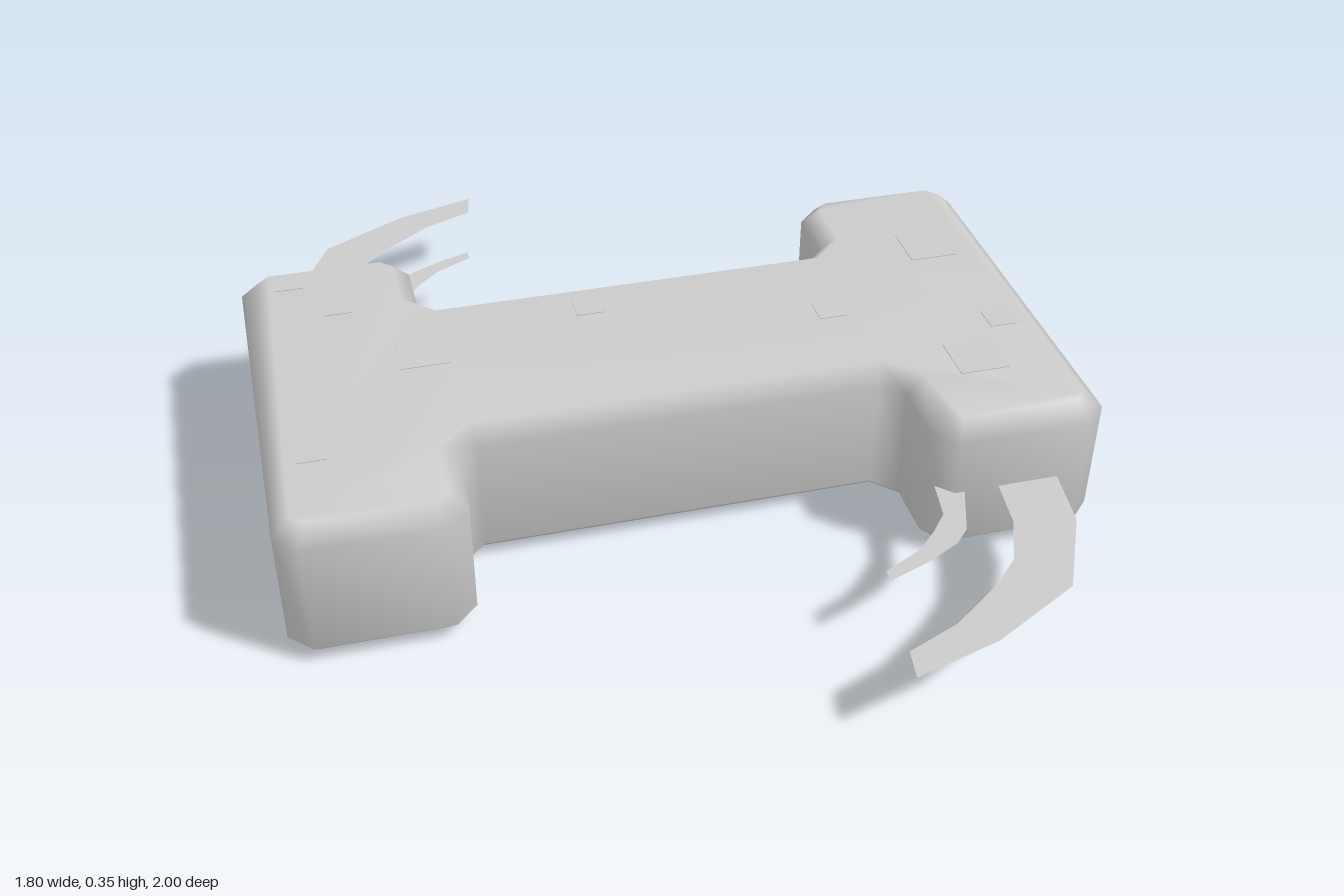
import * as THREE from 'three';
import { mergeVertices } from 'three/addons/utils/BufferGeometryUtils.js';

const grey = new THREE.MeshStandardMaterial({ color: 0xcccccc });
const greyThin = new THREE.MeshStandardMaterial({ color: 0xcccccc, side: THREE.DoubleSide });

const HEIGHT = 0.35;
const BEVEL = 0.04;

const toShape = (points) => new THREE.Shape(points.map(([x, y]) => new THREE.Vector2(x, y)));

// I-shaped slab: two wide end blocks joined by a bar, all edges chamfered and smoothed
function makeBody() {
  const quarter = [[0.5, 0.26], [0.45, 0.26], [0.5, 0.31], [0.5, 0.45], [0.55, 0.5], [0.85, 0.5], [0.9, 0.45]].slice(1);
  const mirrored = quarter.map(([x, y]) => [-x, y]).reverse();
  const half = [...mirrored, ...quarter];
  const outline = [...half, ...half.map(([x, y]) => [-x, -y])];
  let geometry = new THREE.ExtrudeGeometry(toShape(outline), {
    depth: HEIGHT - 2 * BEVEL,
    bevelEnabled: true,
    bevelThickness: BEVEL,
    bevelSize: BEVEL,
    bevelOffset: -BEVEL,
    bevelSegments: 1,
  });
  geometry.deleteAttribute('uv');
  geometry.deleteAttribute('normal');
  geometry = mergeVertices(geometry, 1e-4);
  geometry.rotateX(-Math.PI / 2);
  geometry.translate(0, BEVEL, 0);
  geometry.computeVertexNormals();
  const body = new THREE.Mesh(geometry, grey);
  body.name = 'body';
  return body;
}

// Flat curved blade lying level at mid height; points are (x, distance to the back)
function makeBlade(name, points) {
  const geometry = new THREE.ShapeGeometry(toShape(points));
  geometry.rotateX(-Math.PI / 2);
  const blade = new THREE.Mesh(geometry, greyThin);
  blade.position.y = HEIGHT / 2;
  blade.name = name;
  return blade;
}

const LARGE = [
  [-0.8, 0.42], [-0.79, 0.5], [-0.77, 0.645], [-0.673, 0.835], [-0.467, 0.945], [-0.272, 1],
  [-0.283, 0.93], [-0.404, 0.88], [-0.52, 0.797], [-0.589, 0.73], [-0.636, 0.618], [-0.652, 0.5], [-0.66, 0.42],
];
const SMALL = [
  [-0.59, 0.42], [-0.573, 0.5], [-0.53, 0.618], [-0.494, 0.655], [-0.41, 0.697], [-0.319, 0.729],
  [-0.319, 0.7], [-0.41, 0.655], [-0.46, 0.607], [-0.5, 0.56], [-0.515, 0.47], [-0.52, 0.42],
];

// Square plates on the top face: x, z, size
const PLATES = [
  [-0.79, -0.42, 0.065], [-0.69, -0.29, 0.065], [-0.52, -0.06, 0.11],
  [-0.12, -0.15, 0.065], [-0.8, 0.24, 0.065], [0.42, 0, 0.065],
  [0.74, -0.21, 0.115], [0.68, 0.255, 0.115], [0.79, 0.125, 0.065],
];

export function createModel() {
  const model = new THREE.Group();
  model.name = 'slab';
  model.add(makeBody());

  // One pair of blades at the back, the same pair turned half round at the front
  for (const [name, angle] of [['backBlades', 0], ['frontBlades', Math.PI]]) {
    const pair = new THREE.Group();
    pair.name = name;
    pair.add(makeBlade('largeBlade', LARGE), makeBlade('smallBlade', SMALL));
    pair.rotation.y = angle;
    model.add(pair);
  }

  const plates = new THREE.Group();
  plates.name = 'topPlates';
  for (const [x, z, size] of PLATES) {
    const plate = new THREE.Mesh(new THREE.BoxGeometry(size, 0.006, size), grey);
    plate.name = 'topPlate';
    plate.position.set(x, HEIGHT - 0.001, z);
    plates.add(plate);
  }
  model.add(plates);
  return model;
}
